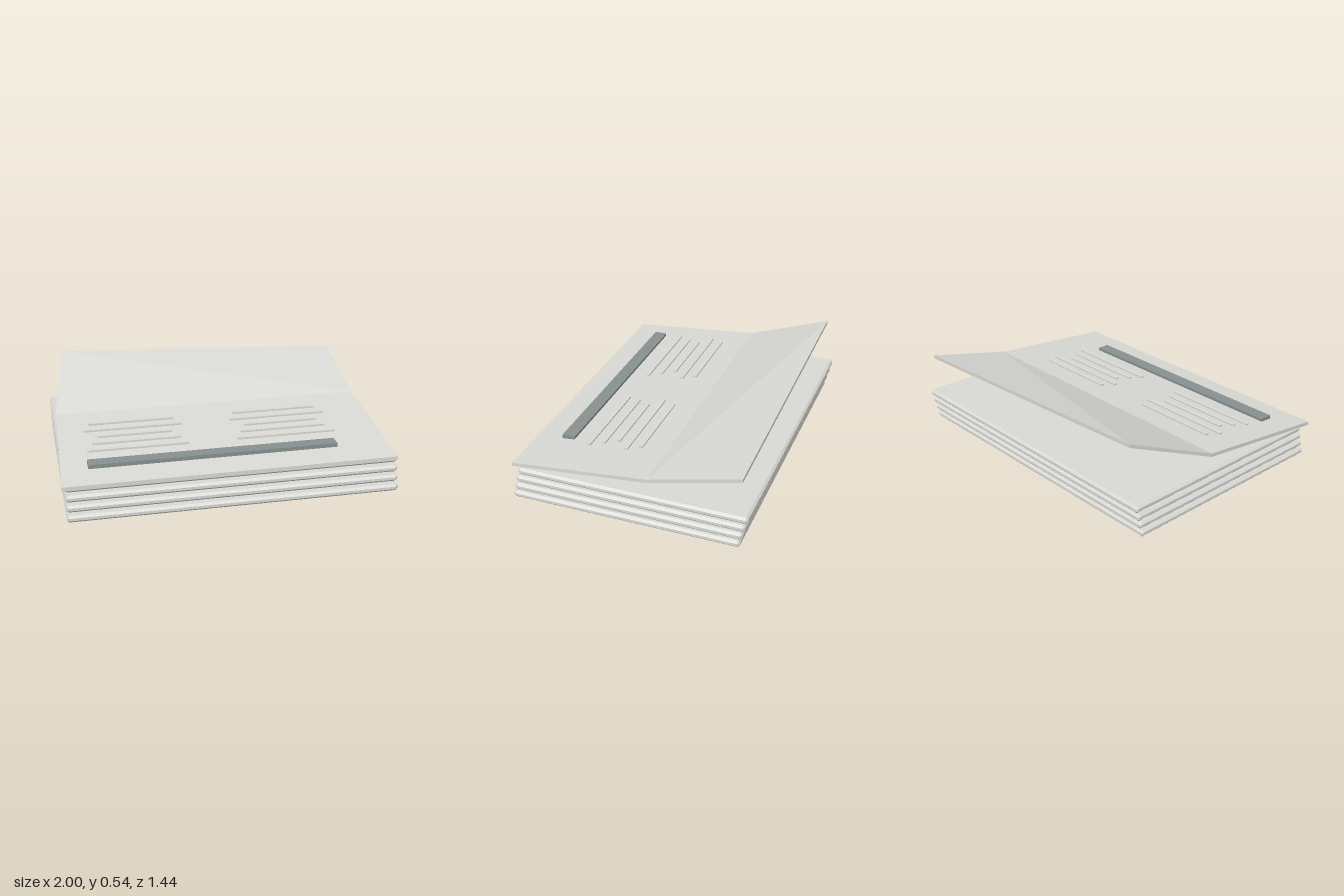
import * as THREE from 'three';
import { ConvexGeometry } from 'three/addons/geometries/ConvexGeometry.js';

const paper = new THREE.MeshStandardMaterial({ color: 0xd8d8d5 });
paper.name = 'paper grey';
const ink = new THREE.MeshStandardMaterial({ color: 0x879190 });
ink.name = 'heading slate';

function add(group, name, geometry, material, x = 0, y = 0, z = 0) {
  const mesh = new THREE.Mesh(geometry, material);
  mesh.name = name;
  mesh.position.set(x, y, z);
  group.add(mesh);
  return mesh;
}

// Box with every edge cut by a flat chamfer
function chamferedBox(w, h, d, c) {
  const points = [];
  for (const sx of [-1, 1]) for (const sy of [-1, 1]) for (const sz of [-1, 1]) {
    const x = w / 2, y = h / 2, z = d / 2;
    points.push(
      new THREE.Vector3(sx * x, sy * (y - c), sz * (z - c)),
      new THREE.Vector3(sx * (x - c), sy * y, sz * (z - c)),
      new THREE.Vector3(sx * (x - c), sy * (y - c), sz * z));
  }
  return new ConvexGeometry(points);
}

// Sheet with a crease, its back flap lifted and twisted
function foldedSheet() {
  const thick = 0.022;
  // each row: z, left x, left y, right x, right y
  const rows = [
    [0.72, -1, 0.23, 0.98, 0.23],
    [-0.13, -0.972, 0.315, 0.98, 0.315],
    [-0.685, -0.88, 0.543, 0.98, 0.452],
  ];
  const positions = [], index = [];
  for (const [z, lx, ly, rx, ry] of rows) {
    positions.push(lx, ly, z, rx, ry, z, lx, ly - thick, z, rx, ry - thick, z);
  }
  const quad = (a, b, c, d) => index.push(a, b, d, b, c, d);
  for (let r = 0; r < 2; r++) {
    const i = 4 * r, j = i + 4;
    quad(i, i + 1, j + 1, j);             // top
    quad(i + 2, j + 2, j + 3, i + 3);     // underside
    quad(j + 2, i + 2, i, j);             // -x edge
    quad(i + 3, j + 3, j + 1, i + 1);     // +x edge
  }
  quad(2, 3, 1, 0);                       // front edge
  quad(11, 10, 8, 9);                     // back edge
  const g = new THREE.BufferGeometry();
  g.setAttribute('position', new THREE.Float32BufferAttribute(positions, 3));
  g.setIndex(index);
  const flat = g.toNonIndexed();
  flat.computeVertexNormals();
  return flat;
}

export function createModel() {
  const model = new THREE.Group();
  model.name = 'paperStack';

  // Stack of slabs, each shifted slightly back
  const slab = chamferedBox(1.978, 0.042, 1.4, 0.013);
  for (let i = 0; i < 4; i++) {
    add(model, 'stackSheet' + (i + 1), slab, paper, 0.009, 0.021 + i * 0.0562, 0.02 - i * 0.0145);
  }

  add(model, 'foldedTopSheet', foldedSheet(), paper);

  // Heading bar across the front of the top sheet
  add(model, 'headingBar', new THREE.BoxGeometry(1.495, 0.026, 0.08), ink, -0.087, 0.258, 0.51);

  // Two columns of raised lines
  const widths = [0.535, 0.61, 0.46, 0.535, 0.61];
  const lines = new THREE.Group();
  lines.name = 'raisedLines';
  model.add(lines);
  for (const x of [-0.515, 0.4]) {
    widths.forEach((w, i) => {
      const z = 0.035 + i * 0.08;
      const surface = 0.23 + (0.72 - z) * 0.1;
      add(lines, 'line', new THREE.BoxGeometry(w, 0.016, 0.022), paper, x, surface + 0.002, z);
    });
  }
  return model;
}
